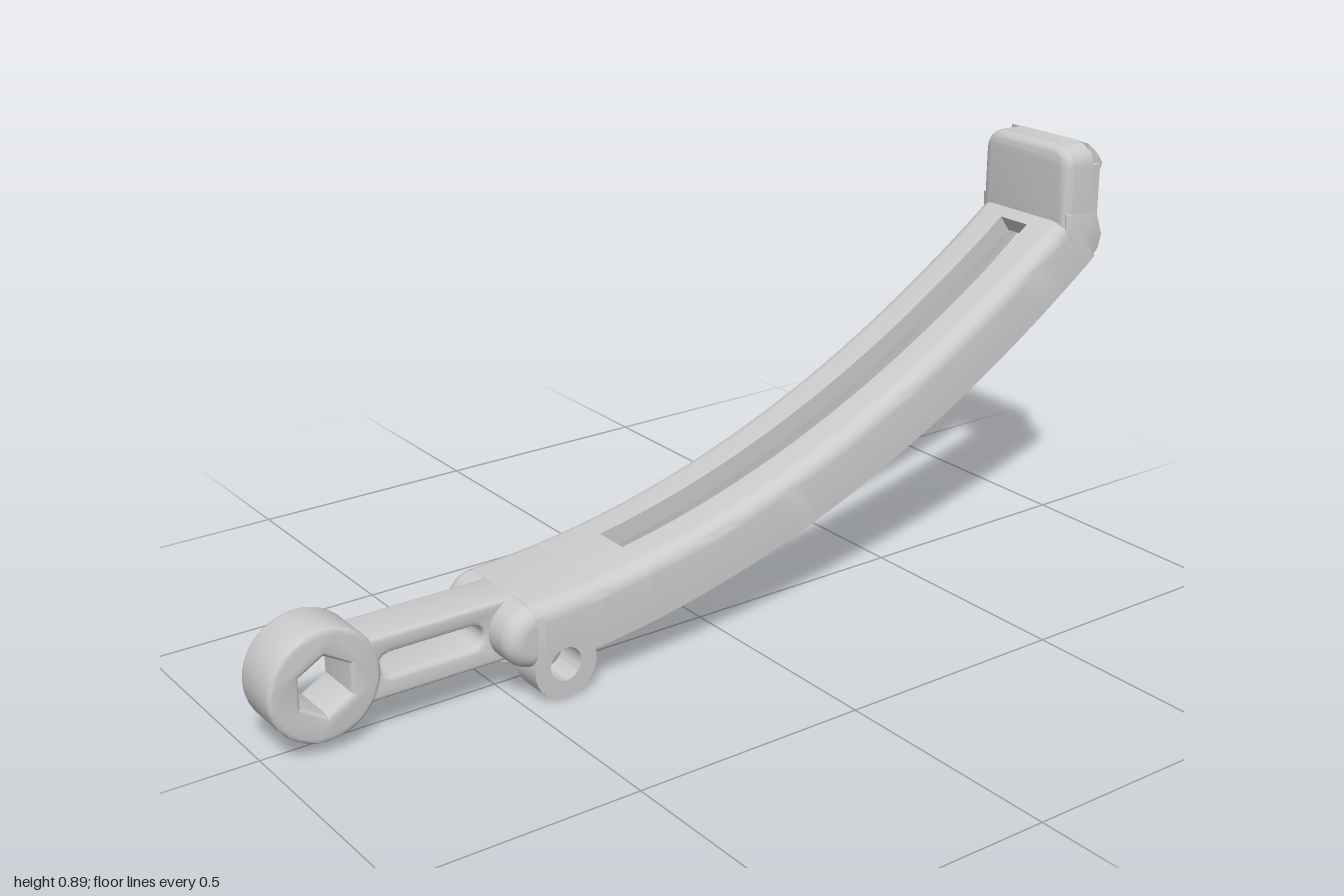
import * as THREE from 'three';
import { toCreasedNormals } from 'three/addons/utils/BufferGeometryUtils.js';

const material = new THREE.MeshStandardMaterial({ color: 0xcccccc });
const V2 = (x, y) => new THREE.Vector2(x, y);
const HALF = 0.13, INNER = 0.105, SLOT = 0.04, DEPTH = 0.13, SLAB = 0.042, R = 0.035;

// Upper edge of the curved arm, and its slope
const topY = x => 0.205 + 0.189 * (x + 0.482) + 0.254 * (x + 0.482) * (x - 0.1);
const slope = x => 0.189 + 0.254 * (2 * x + 0.382);

// Rounded corner as points, angles in quarter turns
function corner(cx, cy, r, a0, a1, n = 6) {
  return Array.from({ length: n + 1 }, (_, i) => {
    const a = (a0 + (a1 - a0) * i / n) * Math.PI / 2;
    return V2(cx + r * Math.cos(a), cy + r * Math.sin(a));
  });
}

// Cross-sections of the arm: (z, depth below the upper edge)
const outerTop = () => [...corner(-HALF + R, R, R, 2, 3), ...corner(HALF - R, R, R, 3, 4)];
const solidSection = d => [...outerTop(), V2(HALF, d), V2(-HALF, d)];
const channelSection = () => [...outerTop(),
  V2(HALF, DEPTH), V2(INNER, DEPTH), ...corner(INNER - 0.012, SLAB + 0.012, 0.012, 0, -1, 3),
  ...corner(-INNER + 0.012, SLAB + 0.012, 0.012, 3, 2, 3), V2(-INNER, DEPTH), V2(-HALF, DEPTH)];
const railSection = s => [V2(SLOT, 0), ...corner(HALF - R, R, R, 3, 4),
  V2(HALF, DEPTH), V2(INNER, DEPTH), ...corner(INNER - 0.012, SLAB + 0.012, 0.012, 0, -1, 3),
  V2(SLOT, SLAB)].map(p => V2(p.x * s, p.y));

// Sweep a section along the arm through the given x stations, with end caps
function sweep(section, xs) {
  const pos = [];
  const rings = xs.map(x => {
    let pts = section(x);
    if (THREE.ShapeUtils.isClockWise(pts)) pts = pts.reverse();
    const m = slope(x), l = Math.hypot(1, m);
    return { pts, p: pts.map(q => [x + q.y * m / l, topY(x) - q.y / l, q.x]) };
  });
  for (let k = 0; k < rings.length - 1; k++) {
    const a = rings[k].p, b = rings[k + 1].p;
    for (let i = 0; i < a.length; i++) {
      const j = (i + 1) % a.length;
      pos.push(...a[i], ...a[j], ...b[j], ...a[i], ...b[j], ...b[i]);
    }
  }
  const first = rings[0], last = rings[rings.length - 1];
  for (const [a, b, c] of THREE.ShapeUtils.triangulateShape(first.pts, []))
    pos.push(...first.p[a], ...first.p[c], ...first.p[b]);
  for (const [a, b, c] of THREE.ShapeUtils.triangulateShape(last.pts, []))
    pos.push(...last.p[a], ...last.p[b], ...last.p[c]);
  const g = new THREE.BufferGeometry();
  g.setAttribute('position', new THREE.Float32BufferAttribute(pos, 3));
  return toCreasedNormals(g, 0.6);
}
const range = (a, b, n) => Array.from({ length: n + 1 }, (_, i) => a + (b - a) * i / n);

// Extrude a shape from z0 to z1 with rounded edges inside its outline
function plate(shape, z0, z1, bevel = 0, segments = 3) {
  const g = new THREE.ExtrudeGeometry(shape, {
    depth: z1 - z0 - 2 * bevel, curveSegments: 16, bevelEnabled: bevel > 0,
    bevelSize: bevel, bevelThickness: bevel, bevelOffset: -bevel, bevelSegments: segments
  });
  g.translate(0, 0, z0 + bevel);
  return toCreasedNormals(g, 0.6);
}
const disc = (x, y, r) => new THREE.Shape().absarc(x, y, r, 0, Math.PI * 2, false);
const hole = (x, y, r) => new THREE.Path().absarc(x, y, r, 0, Math.PI * 2, true);

// Stadium outline used for the neck window
function stadium(x0, x1, y0, y1) {
  const r = (y1 - y0) / 2, y = (y0 + y1) / 2;
  return new THREE.Path([...corner(x0 + r, y, r, 1, 3), ...corner(x1 - r, y, r, -1, 1)]);
}

export function createModel() {
  const group = new THREE.Group();
  const add = (name, geometry) => {
    const mesh = new THREE.Mesh(geometry, material);
    mesh.name = name;
    group.add(mesh);
    return mesh;
  };

  // Pivot eye with a hexagonal bore
  const eye = disc(-0.885, 0.14, 0.115);
  eye.holes.push(new THREE.Path(range(0, 5, 5).map(i =>
    V2(-0.885 + 0.06 * Math.sin(i * Math.PI / 3), 0.14 + 0.06 * Math.cos(i * Math.PI / 3)))));
  add('pivotEye', plate(eye, -0.058, 0.058, 0.01));

  // Neck with a long window
  const neck = new THREE.Shape([V2(-0.8, 0.075), V2(-0.47, 0.075), V2(-0.47, 0.205), V2(-0.8, 0.205)]);
  neck.holes.push(stadium(-0.775, -0.55, 0.118, 0.167));
  add('neck', plate(neck, -0.055, 0.055, 0.01));

  // Rounded end of the arm
  const rim = 0.035, r = 0.065;
  const profile = [V2(0, -HALF), ...corner(r - rim, -HALF + rim, rim, -1, 0),
    ...corner(r - rim, HALF - rim, rim, 0, 1), V2(0, HALF)];
  add('roundedEnd', new THREE.LatheGeometry(profile, 20, Math.PI, Math.PI)
    .rotateX(Math.PI / 2).translate(-0.475, 0.14, 0));

  // Solid root of the arm, relieved above the lug bores
  const relief = x => (x > -0.462 && x < -0.375 ? 0.095 : DEPTH);
  add('armRoot', sweep(x => solidSection(relief(x)),
    [-0.482, -0.463, -0.461, -0.42, -0.376, -0.374, -0.33]));

  // Curved channel, slotted along its middle
  add('channelStart', sweep(channelSection, range(-0.33, -0.22, 4)));
  for (const s of [1, -1])
    add(s > 0 ? 'frontRail' : 'backRail', sweep(() => railSection(s), range(-0.22, 0.855, 28)));
  add('channelEnd', sweep(channelSection, range(0.855, 0.9, 2)));

  // Pair of lugs and pair of end cheeks
  for (const s of [1, -1]) {
    const side = s > 0 ? 'front' : 'back';
    const lug = disc(-0.415, 0.07, 0.07);
    lug.holes.push(hole(-0.415, 0.072, 0.035));
    add(side + 'Lug', s > 0 ? plate(lug, 0.06, HALF) : plate(lug, -HALF, -0.06));
    const cheek = new THREE.Shape([V2(0.89, 0.62), V2(0.972, 0.643), V2(0.988, 0.66),
      V2(0.996, 0.69), V2(0.985, 0.72), V2(0.975, 0.75), V2(0.885, 0.75)]);
    add(side + 'Cheek', s > 0 ? plate(cheek, INNER, HALF, 0.004) : plate(cheek, -HALF, -INNER, 0.004));
  }

  // Upright hook: rounded back plate, hollow rim and projecting lip (drawn facing +x)
  const rounded = (half, y0, y1, rad) => [V2(-half, y0), V2(half, y0),
    ...corner(half - rad, y1 - rad, rad, 0, 1), ...corner(-half + rad, y1 - rad, rad, 1, 2)];
  const facingX = g => g.rotateY(Math.PI / 2);
  const outline = rounded(HALF, 0.69, 0.895, 0.045);
  const back = new THREE.ExtrudeGeometry(new THREE.Shape(outline), {
    depth: 0.003, bevelSize: 0.024, bevelThickness: 0.024, bevelOffset: -0.024, bevelSegments: 5
  });
  // Flatten the inner face of the back plate so that the rim joins it squarely
  const bp = back.attributes.position;
  for (let i = 0; i < bp.count; i++) if (bp.getZ(i) > 0.003) bp.setZ(i, 0.003);
  back.translate(0, 0, 0.902);
  add('hookBack', facingX(toCreasedNormals(back, 0.6)));

  const arch = new THREE.Shape([V2(INNER, 0.72), ...outline.slice(1).map(p => V2(p.x, Math.max(p.y, 0.72))),
    V2(-HALF, 0.72), V2(-INNER, 0.72),
    ...corner(-INNER + 0.012, 0.823, 0.012, 2, 1, 3), ...corner(INNER - 0.012, 0.823, 0.012, 1, 0, 3)]);
  add('hookRim', facingX(plate(arch, 0.9, 0.955)));
  // Thinner side edges close the rim
  for (const s of [1, -1]) {
    const edge = new THREE.BoxGeometry(0.024, 0.13, HALF - INNER);
    add(s > 0 ? 'frontRimEdge' : 'backRimEdge', edge)
      .position.set(0.964, 0.785, s * (HALF + INNER) / 2);
  }
  // Lip sloping down to its nose
  const lip = new THREE.Shape([V2(0.95, 0.895), V2(0.968, 0.882), V2(0.985, 0.865),
    V2(0.997, 0.848), V2(0.993, 0.835), V2(0.95, 0.835)]);
  add('hookLip', plate(lip, -0.118, 0.118, 0.004));

  return group;
}
